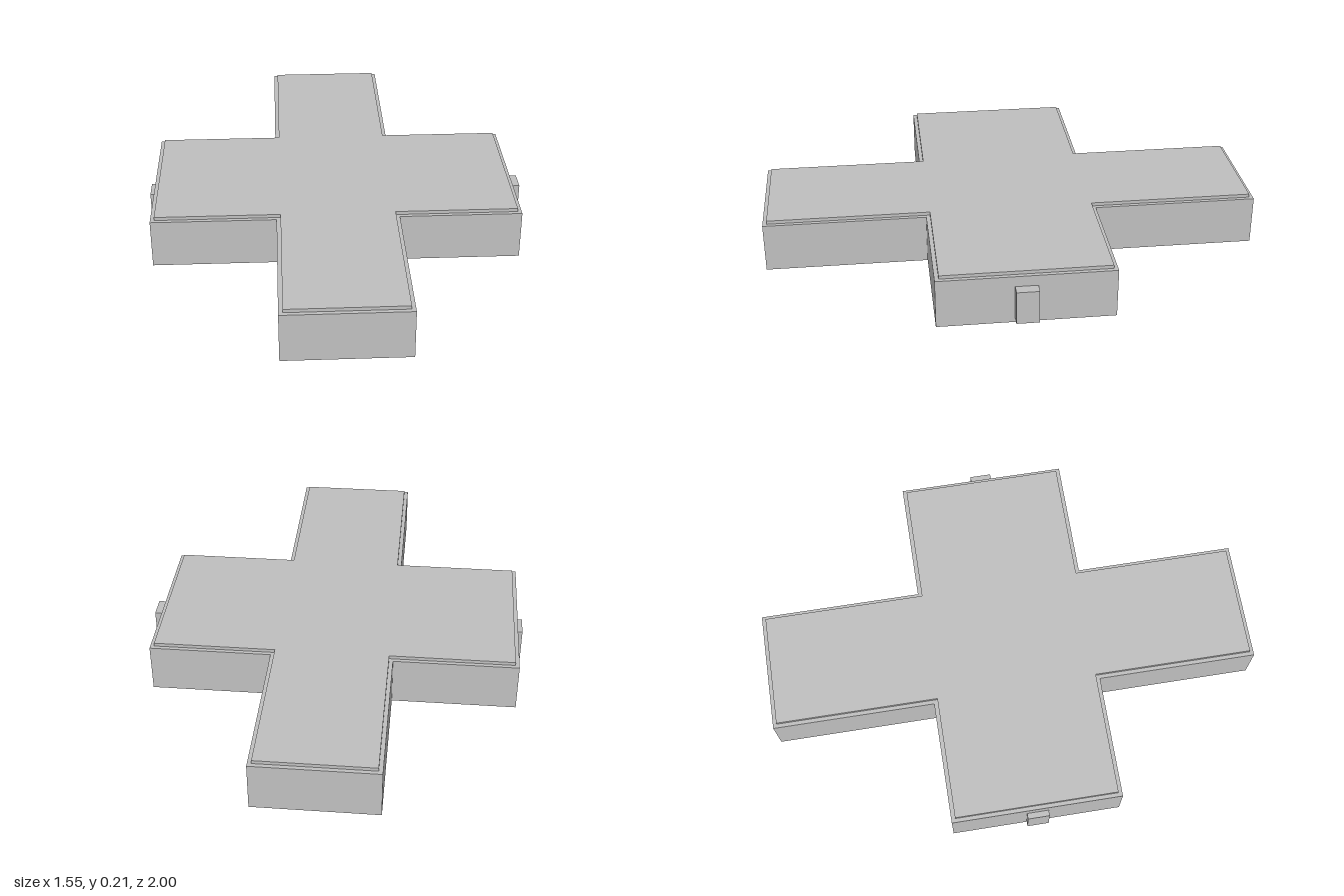
import * as THREE from 'three';

// Cross-shaped slab, inset by a margin, standing from y0 to y1
function crossSlab(inset, y0, y1, material) {
  const xl = -0.75 + inset, xr = 0.73 - inset; // side arm ends
  const al = -0.25 + inset, ar = 0.24 - inset; // long arm sides
  const zb = -0.34 + inset, zf = 0.35 - inset; // side arm edges
  const end = 1 - inset;
  // Shape y is -z, so that the extrusion points up once rotated
  const outline = [
    [al, end], [ar, end], [ar, zf], [xr, zf], [xr, zb], [ar, zb],
    [ar, -end], [al, -end], [al, zb], [xl, zb], [xl, zf], [al, zf],
  ].map(([x, z]) => new THREE.Vector2(x, -z));
  const geometry = new THREE.ExtrudeGeometry(new THREE.Shape(outline), { depth: y1 - y0, bevelEnabled: false });
  geometry.rotateX(-Math.PI / 2);
  geometry.translate(0, y0, 0);
  return new THREE.Mesh(geometry, material);
}

export function createModel() {
  const group = new THREE.Group();
  group.name = 'crossPlatform';
  const grey = new THREE.MeshStandardMaterial({ color: 0xc0c0c0 });
  grey.name = 'light grey';

  // Main body and the slightly smaller raised top
  const body = crossSlab(0, 0, 0.2, grey);
  body.name = 'body';
  const topPanel = crossSlab(0.016, 0.2, 0.214, grey);
  topPanel.name = 'topPanel';
  group.add(body, topPanel);

  // Small tabs on the ends of the side arms
  for (const [name, x0, x1] of [['leftTab', 0.73, 0.773], ['rightTab', -0.773, -0.75]]) {
    const tab = new THREE.Mesh(new THREE.BoxGeometry(x1 - x0, 0.137, 0.088), grey);
    tab.position.set((x0 + x1) / 2, 0.088, 0.007);
    tab.name = name;
    group.add(tab);
  }
  return group;
}
